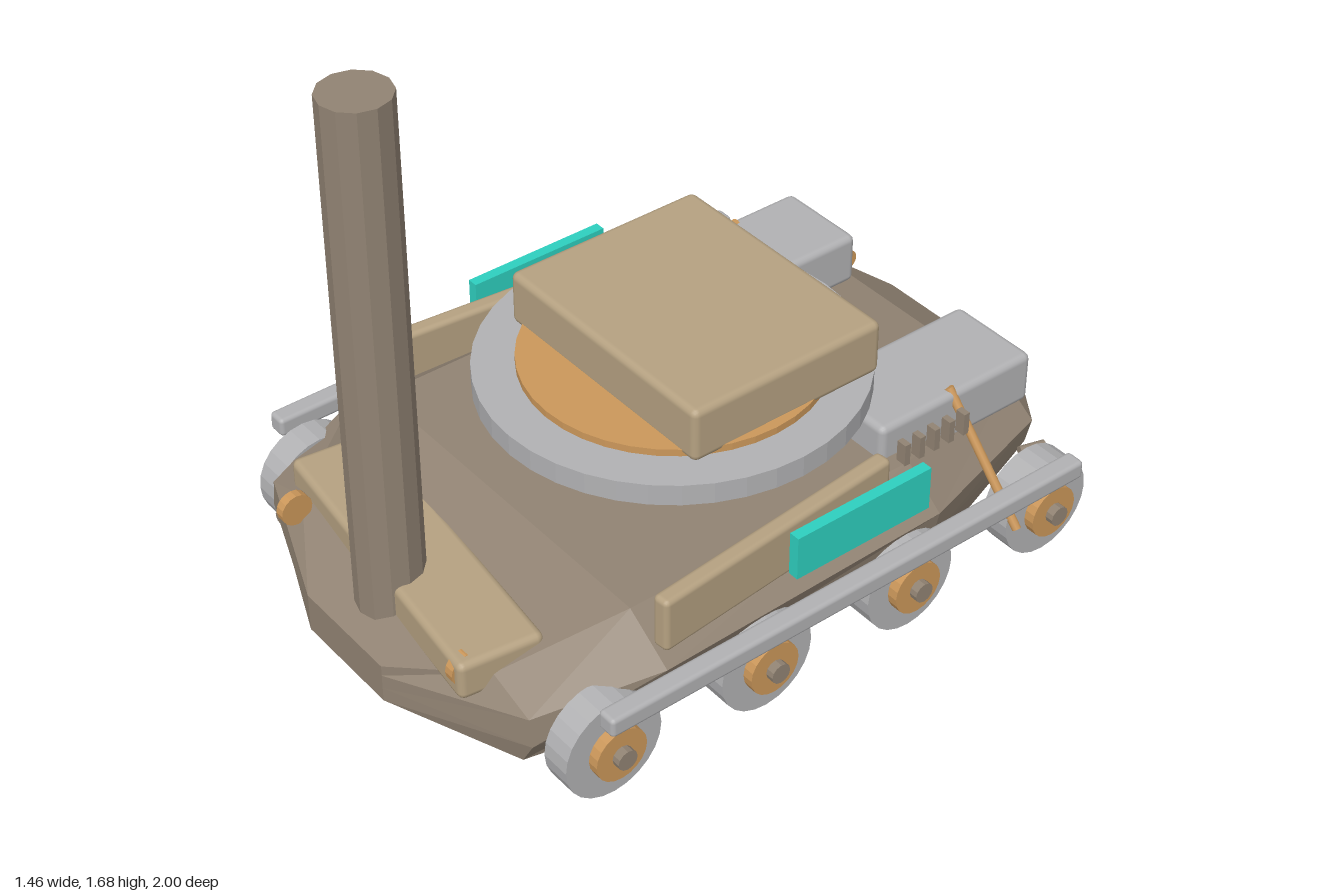
import * as THREE from 'three';
import { RoundedBoxGeometry } from 'three/addons/geometries/RoundedBoxGeometry.js';

const paint = (name, color) => {
  const m = new THREE.MeshStandardMaterial({ color });
  m.name = name;
  return m;
};

// Faceted normals
const flat = (geometry) => {
  const g = geometry.index ? geometry.toNonIndexed() : geometry;
  g.computeVertexNormals();
  return g;
};

// Hull: faceted cross-sections from nose to tail
function hullGeometry() {
  // z, then half-width and height of bottom, side, shoulder and deck edges
  const stations = [
    [1.0, 0.16, 0.10, 0.16, 0.14, 0.16, 0.18, 0.16, 0.21],
    [0.85, 0.52, 0.09, 0.56, 0.16, 0.55, 0.24, 0.41, 0.285],
    [0.53, 0.59, 0.09, 0.62, 0.20, 0.66, 0.29, 0.52, 0.385],
    [-0.35, 0.59, 0.09, 0.62, 0.20, 0.64, 0.29, 0.52, 0.38],
    [-0.83, 0.43, 0.11, 0.46, 0.17, 0.48, 0.25, 0.38, 0.315],
    [-1.0, 0.24, 0.145, 0.26, 0.16, 0.27, 0.18, 0.25, 0.20],
  ];
  const rings = stations.map(([z, ...p]) => {
    const half = [0, 2, 4, 6].map((i) => [p[i], p[i + 1], z]);
    return [...half, ...half.map(([x, y]) => [-x, y, z]).reverse()];
  });
  const out = [];
  const tri = (a, b, c) => out.push(...a, ...b, ...c);
  const n = 8;
  for (let s = 0; s < rings.length - 1; s++) {
    const a = rings[s], b = rings[s + 1];
    for (let k = 0; k < n; k++) {
      const j = (k + 1) % n;
      tri(a[k], b[k], b[j]);
      tri(a[k], b[j], a[j]);
    }
  }
  const nose = rings[0], tail = rings[rings.length - 1];
  for (let k = 1; k < n - 1; k++) {
    tri(nose[0], nose[k], nose[k + 1]);
    tri(tail[0], tail[k + 1], tail[k]);
  }
  const g = new THREE.BufferGeometry();
  g.setAttribute('position', new THREE.Float32BufferAttribute(out, 3));
  g.computeVertexNormals();
  return g;
}

export function createModel() {
  const model = new THREE.Group();
  model.name = 'armouredVehicle';
  const brown = paint('hullBrown', 0x918373);
  const tan = paint('panelTan', 0xb5a181);
  const grey = paint('metalGrey', 0xb1b1b3);
  const orange = paint('copperOrange', 0xcb975a);
  const teal = paint('glowTeal', 0x2ecfbf);

  const add = (name, geometry, material, x = 0, y = 0, z = 0) => {
    const mesh = new THREE.Mesh(geometry, material);
    mesh.name = name;
    mesh.position.set(x, y, z);
    model.add(mesh);
    return mesh;
  };
  const box = (name, material, w, h, d, x, y, z, r = 0.02) =>
    add(name, r ? new RoundedBoxGeometry(w, h, d, 2, r) : new THREE.BoxGeometry(w, h, d), material, x, y, z);
  const drum = (r, h, sides) => flat(new THREE.CylinderGeometry(r, r, h, sides));
  const disc = (name, material, r, w, x, y, z, sides = 20) => {
    const m = add(name, drum(r, w, sides), material, x, y, z);
    m.rotation.z = Math.PI / 2;
    return m;
  };
  // Round rod between two points
  const rod = (name, material, from, to, r) => {
    const a = new THREE.Vector3(...from), b = new THREE.Vector3(...to);
    const dir = b.clone().sub(a);
    const m = add(name, new THREE.CylinderGeometry(r, r, dir.length(), 10), material);
    m.position.copy(a).add(b).multiplyScalar(0.5);
    m.quaternion.setFromUnitVectors(new THREE.Vector3(0, 1, 0), dir.normalize());
  };

  add('hull', hullGeometry(), brown);

  // Upright mast at the nose and the skewed plate around it
  add('mast', drum(0.09, 1.44, 12), brown, 0, 0.96, 0.86);
  box('nosePlate', tan, 0.9, 0.11, 0.23, -0.03, 0.29, 0.77).rotation.y = -0.122;

  // Turret
  add('turretRing', drum(0.508, 0.06, 40), grey, 0, 0.53, -0.01);
  add('turretDisc', drum(0.4, 0.02, 40), orange, 0, 0.57, -0.015);
  box('turretBlock', tan, 0.745, 0.155, 0.595, 0, 0.64, -0.078);

  // Small stacked bars under the turret
  box('upperBar', orange, 0.09, 0.012, 0.02, 0.2, 0.477, -0.22, 0);
  box('middleBar', grey, 0.14, 0.012, 0.02, 0.23, 0.459, -0.22, 0);
  box('lowerBar', grey, 0.14, 0.012, 0.02, 0.23, 0.441, -0.22, 0);

  for (const s of [1, -1]) {
    // Running gear
    for (const z of [0.69, 0.225, -0.24, -0.71]) {
      disc('wheel', grey, 0.14, 0.084, s * 0.62, 0.14, z, 24);
      disc('wheelHub', orange, 0.074, 0.05, s * 0.667, 0.14, z);
      disc('axleCap', brown, 0.028, 0.05, s * 0.69, 0.14, z, 12);
    }
    box('sideRail', grey, 0.056, 0.055, 1.51, s * 0.702, 0.278, -0.01, 0.012);

    // Side panels splayed out towards the front
    box('sidePanel', tan, 0.05, 0.155, 0.765, s * 0.582, 0.398, 0.14, 0.015).rotation.y = s * 0.093;
    box('glowPanel', teal, 0.03, 0.125, 0.425, s * 0.655, 0.428, -0.068, 0);

    // Engine boxes with a row of vents
    box('engineBox', grey, 0.27, 0.15, 0.515, s * 0.34, 0.4, -0.555, 0.02);
    for (let i = 0; i < 5; i++)
      box('vent', brown, 0.03, 0.065, 0.018, s * 0.51, 0.408, -0.34 - i * 0.05, 0);

    // Slanted braces, leaning opposite ways
    rod('brace', orange, [s * 0.45, 0.478, -0.567 + s * 0.023], [s * 0.68, 0.14, -0.567 - s * 0.023], 0.013);

    // Tow lugs front and rear
    disc('frontLug', orange, 0.044, 0.027, s * 0.365, 0.302, 0.9, 16);
    disc('rearLug', orange, 0.03, 0.026, s * 0.34, 0.285, -0.9, 16);
  }

  // Small pegs on the corners
  rod('rearPegRight', orange, [-0.49, 0.2, -0.78], [-0.515, 0.2, -0.85], 0.014);
  rod('rearPegLeft', brown, [0.51, 0.2, -0.76], [0.53, 0.2, -0.83], 0.014);
  rod('frontPeg', brown, [-0.53, 0.135, 0.78], [-0.53, 0.135, 0.855], 0.018);

  return model;
}
